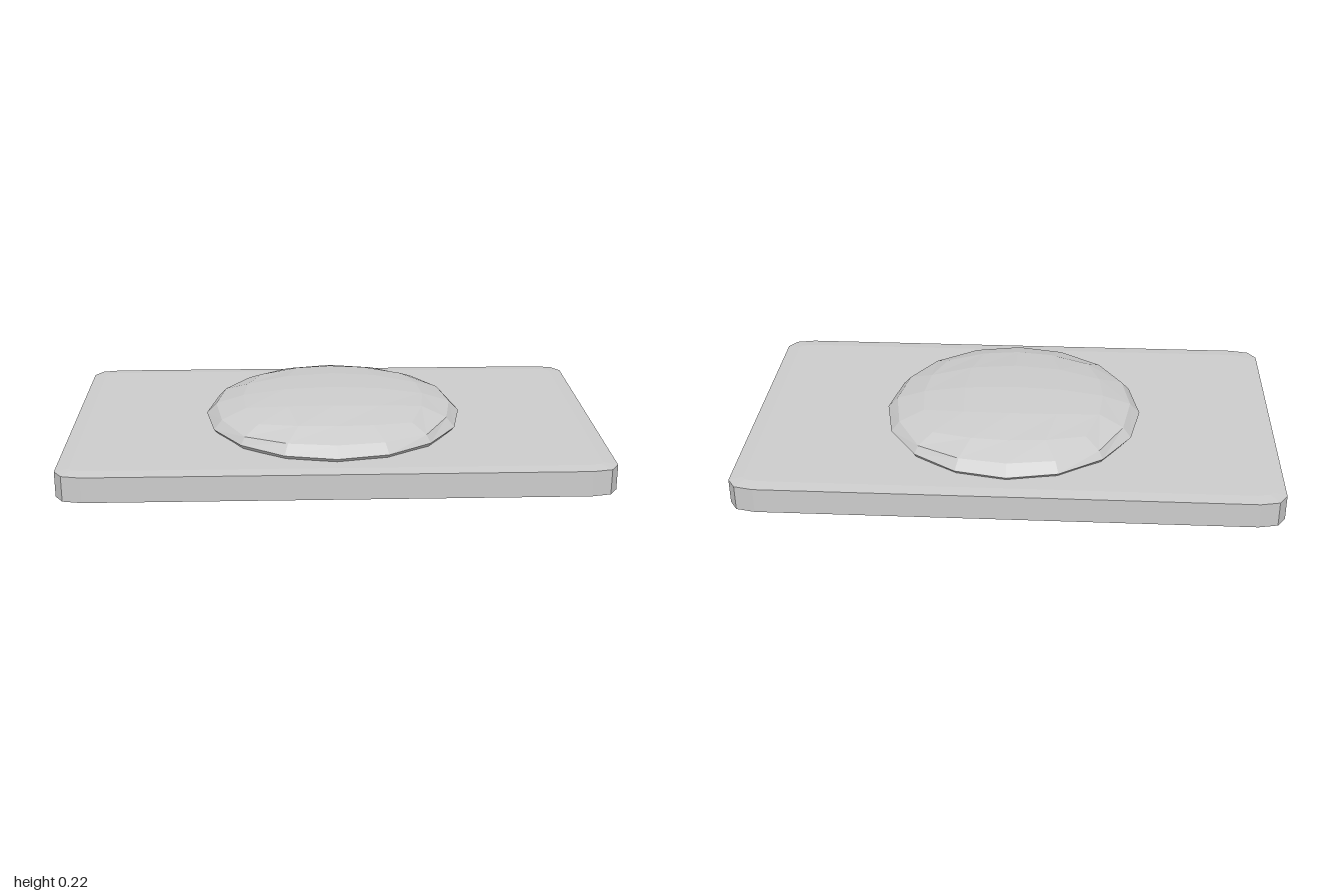
import * as THREE from 'three';

const material = new THREE.MeshStandardMaterial({ color: 0xcccccc, flatShading: true });

// Slab with clipped corners and very shallow crowned faces
function createPlate() {
  const corner = [[0.9, 0.6], [0.97, 0.585], [1, 0.54]];
  const flip = (sx, sy) => corner.map(([x, y]) => new THREE.Vector2(sx * x, sy * y));
  const outline = [
    ...flip(1, -1),
    ...flip(1, 1).reverse(),
    ...flip(-1, 1),
    ...flip(-1, -1).reverse(),
  ];
  const geometry = new THREE.ExtrudeGeometry(new THREE.Shape(outline), {
    depth: 0.095,
    bevelEnabled: true,
    bevelSegments: 1,
    bevelThickness: 0.005,
    bevelSize: 0.05,
    bevelOffset: -0.05,
  });
  geometry.rotateX(-Math.PI / 2).translate(0, 0.005, 0);
  const plate = new THREE.Mesh(geometry, material);
  plate.name = 'plate';
  return plate;
}

// Flattened cube-sphere, its lower half sunk into the plate
function createDome() {
  const geometry = new THREE.BoxGeometry(2, 2, 2, 4, 4, 4);
  const position = geometry.attributes.position;
  const v = new THREE.Vector3();
  const spread = (t) => Math.tan((t * Math.PI) / 4);
  for (let i = 0; i < position.count; i++) {
    v.fromBufferAttribute(position, i);
    v.set(spread(v.x), spread(v.y), spread(v.z)).normalize();
    position.setXYZ(i, v.x * 0.492, v.y * 0.1, v.z * 0.507);
  }
  geometry.computeVertexNormals();
  const dome = new THREE.Mesh(geometry, material);
  dome.name = 'dome';
  dome.position.y = 0.12;
  return dome;
}

export function createModel() {
  const model = new THREE.Group();
  model.name = 'domedPlate';
  model.add(createPlate(), createDome());
  return model;
}
